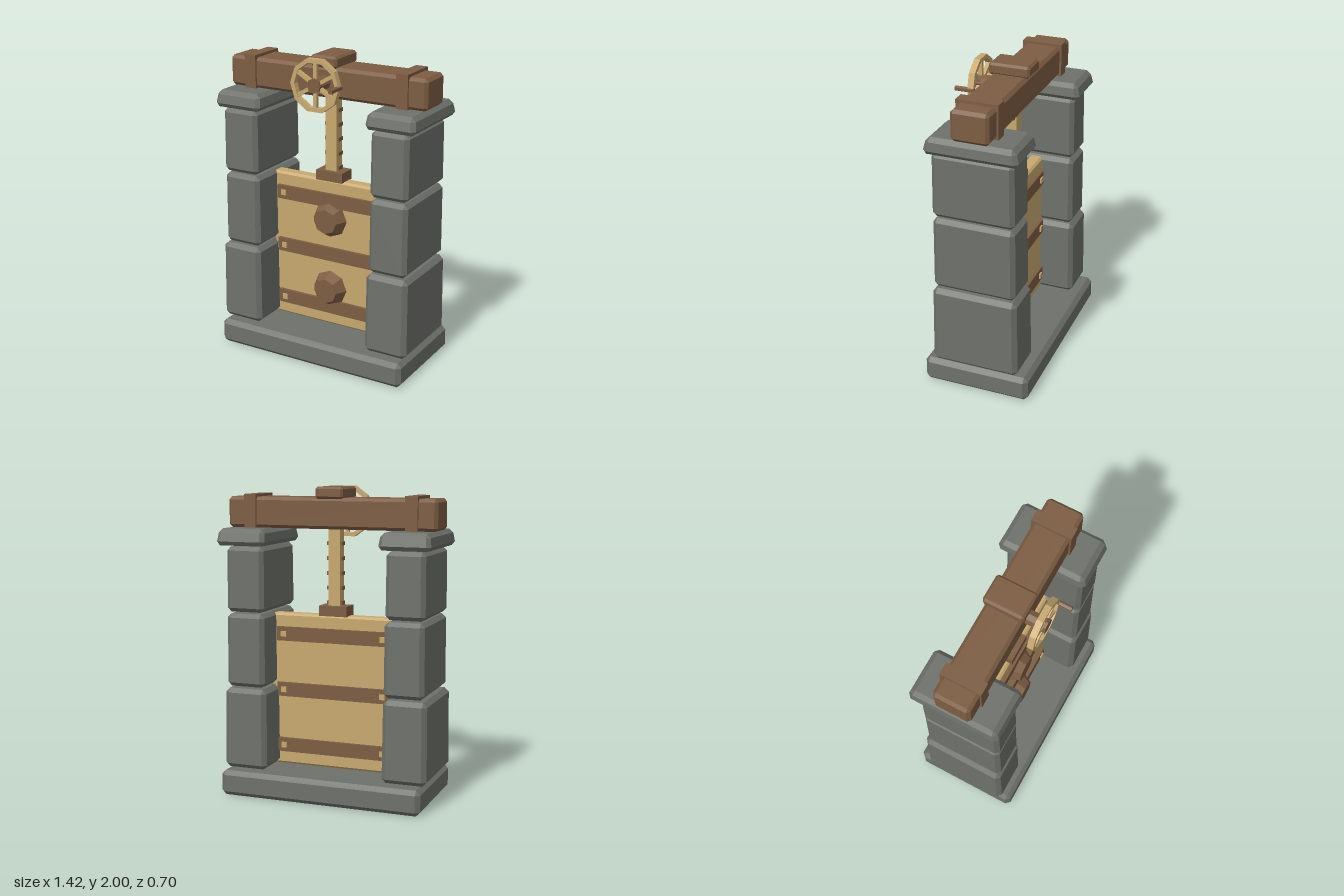
import * as THREE from 'three';
import { ConvexGeometry } from 'three/addons/geometries/ConvexGeometry.js';

const mat = (name, color) => {
  const m = new THREE.MeshStandardMaterial({ color, flatShading: true });
  m.name = name;
  return m;
};

// Chamfered block between two corners; the top can be narrower than the bottom
function block(x0, x1, y0, y1, z0, z1, c, taper = 1) {
  const h = [(x1 - x0) / 2, (y1 - y0) / 2, (z1 - z0) / 2];
  const pts = [];
  for (const sx of [-1, 1]) for (const sy of [-1, 1]) for (const sz of [-1, 1]) {
    for (let face = 0; face < 3; face++) {
      const p = [sx, sy, sz].map((s, i) => s * (h[i] - (i === face ? 0 : c)));
      const k = 1 + (taper - 1) * (p[1] / h[1] + 1) / 2;
      pts.push(new THREE.Vector3(p[0] * k, p[1], p[2] * k));
    }
  }
  const g = new ConvexGeometry(pts);
  g.translate((x0 + x1) / 2, (y0 + y1) / 2, (z0 + z1) / 2);
  return g;
}

const box = (w, h, d, x, y, z) => new THREE.BoxGeometry(w, h, d).translate(x, y, z);

// Cylinder along z from z0 to z1
const rod = (rBack, rFront, z0, z1, sides, x, y) =>
  new THREE.CylinderGeometry(rFront, rBack, z1 - z0, sides)
    .rotateX(Math.PI / 2).translate(x, y, (z0 + z1) / 2);

function polygon(target, r, n) {
  for (let i = 0; i < n; i++) {
    const a = i / n * Math.PI * 2;
    target[i ? 'lineTo' : 'moveTo'](r * Math.cos(a), r * Math.sin(a));
  }
  target.closePath();
  return target;
}

export function createModel() {
  const stone = mat('stone', 0x6e716b);
  const darkWood = mat('dark wood', 0x7d5d43);
  const lightWood = mat('light wood', 0xc8a86f);
  const model = new THREE.Group();
  model.name = 'sluiceGate';
  const group = (name) => {
    const g = new THREE.Group();
    g.name = name;
    model.add(g);
    return g;
  };
  const add = (parent, name, geo, material) => {
    const m = new THREE.Mesh(geo, material);
    m.name = name;
    parent.add(m);
  };

  // Stone footing and the two stacked pillars
  add(model, 'base', block(-0.675, 0.675, 0, 0.165, -0.35, 0.35, 0.028), stone);
  const right = group('rightPillar');
  add(right, 'lowerStone', block(-0.693, -0.4, 0.172, 0.7, -0.28, 0.292, 0.028, 0.97), stone);
  add(right, 'middleStone', block(-0.667, -0.405, 0.712, 1.188, -0.263, 0.277, 0.026, 0.98), stone);
  add(right, 'upperStone', block(-0.667, -0.412, 1.2, 1.62, -0.258, 0.275, 0.026, 0.98), stone);
  add(right, 'capStone', block(-0.712, -0.372, 1.628, 1.735, -0.305, 0.302, 0.026, 0.91), stone);
  const left = group('leftPillar');
  add(left, 'lowerStone', block(0.383, 0.678, 0.172, 0.7, -0.282, 0.29, 0.028, 0.97), stone);
  add(left, 'middleStone', block(0.4, 0.662, 0.712, 1.188, -0.263, 0.275, 0.026, 0.98), stone);
  add(left, 'upperStone', block(0.402, 0.66, 1.2, 1.62, -0.258, 0.272, 0.026, 0.98), stone);
  add(left, 'capStone', block(0.372, 0.712, 1.628, 1.735, -0.305, 0.302, 0.026, 0.91), stone);

  // Sliding gate with straps and nails on both faces
  const gate = group('gate');
  add(gate, 'panel', block(-0.435, 0.435, 0.166, 1.178, -0.045, 0.045, 0.014), lightWood);
  for (const y of [0.3, 0.675, 1.045]) {
    add(gate, 'strap', box(0.78, 0.092, 0.13, 0, y, 0), darkWood);
    for (const x of [-0.34, 0.34]) add(gate, 'nail', box(0.036, 0.036, 0.15, x, y, 0), lightWood);
  }
  for (const y of [0.43, 0.915]) add(gate, 'knob', rod(0.122, 0.083, 0.045, 0.115, 8, 0, y), darkWood);

  // Toothed lifting rod
  const lift = group('liftingRod');
  add(lift, 'foot', box(0.19, 0.066, 0.125, 0, 1.208, 0), darkWood);
  add(lift, 'shaft', box(0.08, 0.56, 0.07, 0, 1.49, 0), lightWood);
  for (let i = 0; i < 5; i++) add(lift, 'tooth', box(0.104, 0.024, 0.05, 0, 1.26 + i * 0.095, 0), darkWood);

  // Crossbeam with bands and a top block
  const top = group('crossbeam');
  add(top, 'beam', block(-0.7, 0.7, 1.735, 1.932, -0.122, 0.118, 0.02), darkWood);
  for (const x of [-0.54, 0.54]) add(top, 'band', box(0.08, 0.215, 0.266, x, 1.842, -0.003), darkWood);
  add(top, 'topBlock', block(-0.092, 0.092, 1.925, 2, -0.135, 0.13, 0.014), darkWood);

  // Hand wheel with six spokes and a crank handle
  const wheel = group('handWheel');
  const wy = 1.835;
  const rim = polygon(new THREE.Shape(), 0.172, 10);
  rim.holes.push(polygon(new THREE.Path(), 0.145, 10));
  add(wheel, 'rim', new THREE.ExtrudeGeometry(rim, { depth: 0.04, bevelEnabled: false })
    .translate(0, wy, 0.196), lightWood);
  for (let i = 0; i < 3; i++) {
    add(wheel, 'spoke', box(0.3, 0.024, 0.026, 0, 0, 0)
      .rotateZ(Math.PI / 6 + i * Math.PI / 3).translate(0, wy, 0.216), lightWood);
  }
  add(wheel, 'hub', rod(0.047, 0.047, 0.1, 0.245, 8, 0, wy), darkWood);
  add(wheel, 'handle', rod(0.017, 0.017, 0.196, 0.318, 6, 0.16, wy), darkWood);
  return model;
}
